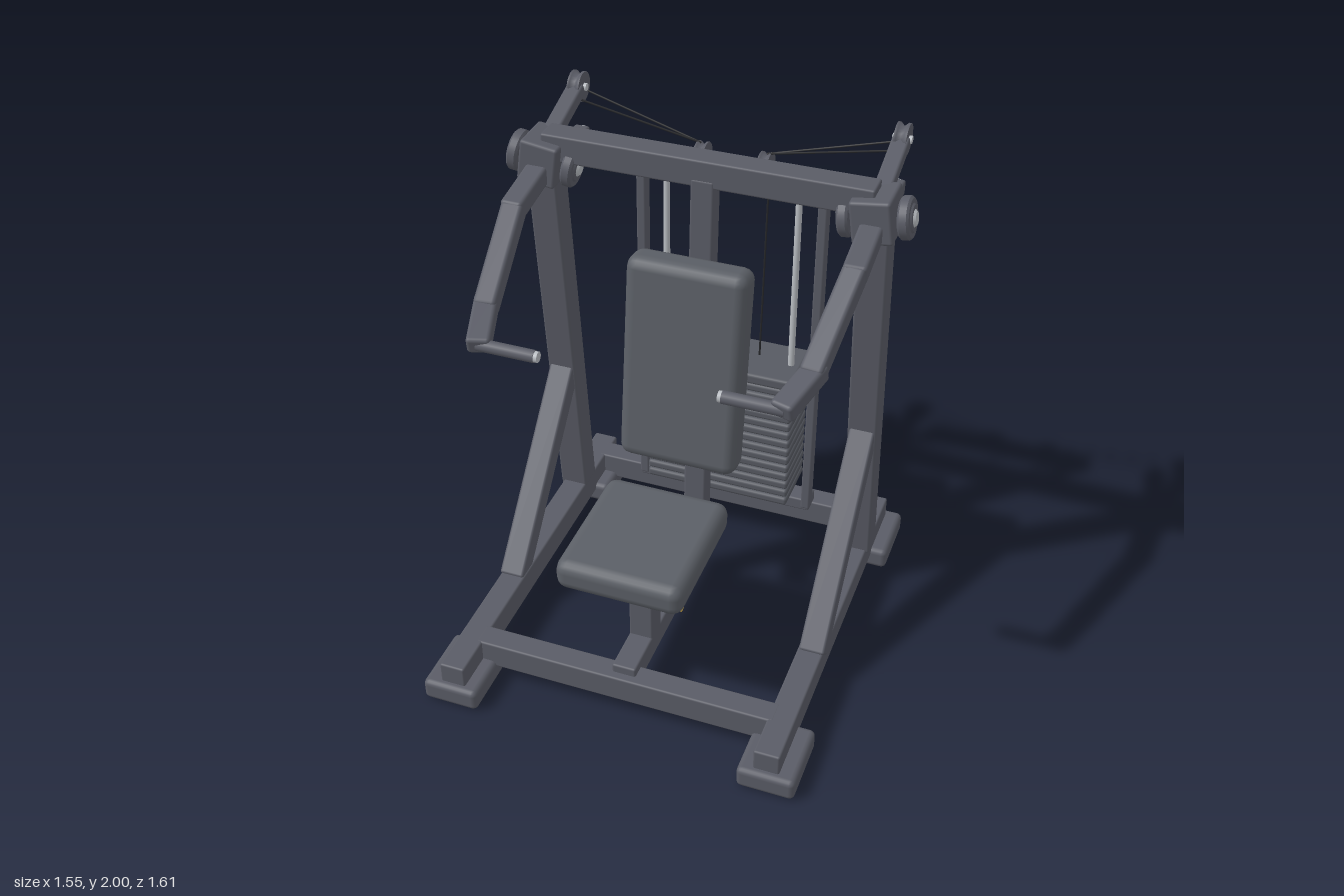
import * as THREE from 'three';
import { RoundedBoxGeometry } from 'three/addons/geometries/RoundedBoxGeometry.js';

const mat = (name, color, extra) => Object.assign(new THREE.MeshStandardMaterial({ color }), { name }, extra);
const V = (x, y, z) => new THREE.Vector3(x, y, z);

export function createModel() {
  const M = {
    frame: mat('frame grey', 0x5a5c66),
    pad: mat('pad grey', 0x5b5f66),
    plate: mat('plate grey', 0x575a62),
    steel: mat('steel', 0xb9bdc2),
    brass: mat('brass', 0xc0a050),
    cable: mat('cable black', 0x26272a),
  };
  const root = new THREE.Group();
  root.name = 'chestPressMachine';

  const add = (name, geo, material, x = 0, y = 0, z = 0, parent = root) => {
    const m = new THREE.Mesh(geo, material);
    m.name = name;
    m.position.set(x, y, z);
    parent.add(m);
    return m;
  };
  const box = (name, material, w, h, d, x, y, z, r = 0.008, parent = root) =>
    add(name, new RoundedBoxGeometry(w, h, d, 2, r), material, x, y, z, parent);
  // Rounded bar between two points: w across, h deep
  const bar = (name, material, a, b, w, h, r = 0.01) => {
    const m = add(name, new RoundedBoxGeometry(w, h, a.distanceTo(b), 2, r), material);
    m.position.copy(a).lerp(b, 0.5);
    m.lookAt(b);
    return m;
  };
  // Round rod between two points
  const rod = (name, material, a, b, r, sides = 16) => {
    const m = add(name, new THREE.CylinderGeometry(r, r, a.distanceTo(b), sides), material);
    m.position.copy(a).lerp(b, 0.5);
    m.quaternion.setFromUnitVectors(V(0, 1, 0), b.clone().sub(a).normalize());
    return m;
  };
  // Disc with bevelled rim, axis along x
  const disc = (name, material, r, w, x, y, z, parent = root) => {
    const c = 0.008, h = w / 2;
    const pts = [[0, -h], [r - c, -h], [r - c, -h], [r, c - h], [r, c - h], [r, h - c], [r, h - c], [r - c, h], [r - c, h], [0, h]];
    const g = new THREE.LatheGeometry(pts.map(p => new THREE.Vector2(...p)), 28);
    g.rotateZ(-Math.PI / 2);
    return add(name, g, material, x, y, z, parent);
  };
  // Grooved cable wheel, axis along x
  const pulley = (name, r, w, x, y, z) => {
    const h = w / 2, q = r - 0.014;
    const pts = [[0, -h], [r, -h], [r, -h], [r, -h * 0.6], [q, 0], [r, h * 0.6], [r, h], [r, h], [0, h]];
    const g = new THREE.LatheGeometry(pts.map(p => new THREE.Vector2(...p)), 24);
    g.rotateZ(-Math.PI / 2);
    add(name, g, M.frame, x, y, z);
    rod(name + 'Axle', M.steel, V(x - h - 0.012, y, z), V(x + h + 0.012, y, z), 0.015);
  };

  // Base frame
  box('frontCrossbar', M.frame, 1.2, 0.11, 0.095, 0, 0.12, 0.568);
  box('rearCrossbar', M.frame, 1.2, 0.11, 0.095, 0, 0.12, -0.68);
  box('centreBeam', M.frame, 0.094, 0.1, 0.85, 0, 0.16, 0.157);

  // Top beam and central upright
  box('topBeam', M.frame, 1.25, 0.106, 0.1, 0, 1.863, -0.305);
  bar('centreUpright', M.frame, V(0, 0.16, -0.225), V(0, 1.84, -0.292), 0.09, 0.078);

  for (const s of [1, -1]) {
    const P = (x, y, z) => V(s * x, y, z);
    // Feet, rails, legs and braces
    for (const z of [0.662, -0.662]) box('foot', M.frame, 0.222, 0.09, 0.286, s * 0.63, 0.045, z, 0.022);
    box('sideRail', M.frame, 0.1, 0.115, 1.55, s * 0.625, 0.117, 0);
    bar('leg', M.frame, P(0.63, 0.165, -0.468), P(0.63, 1.83, -0.298), 0.116, 0.108);
    bar('brace', M.frame, P(0.63, 0.15, 0.2), P(0.63, 0.81, -0.385), 0.1, 0.085);

    // Tilted pivot housing with end discs
    const hub = new THREE.Group();
    hub.name = 'pivot';
    hub.position.set(s * 0.628, 1.795, -0.302);
    hub.rotation.z = s * 0.14;
    root.add(hub);
    box('pivotHousing', M.frame, 0.15, 0.165, 0.175, 0, 0.012, 0, 0.012, hub);
    for (const side of [1, -1]) {
      disc('pivotDisc', M.frame, 0.078, 0.042, side * 0.108, 0, 0, hub);
      disc('pivotRing', M.frame, 0.055, 0.02, side * 0.125, 0, 0, hub);
      disc('pivotCap', M.steel, 0.032, 0.02, side * 0.133, 0, 0, hub);
    }

    // Press arm in three bent segments, with its grip
    const arm = [P(0.628, 1.775, -0.26), P(0.632, 1.728, 0), P(0.598, 1.53, 0.305), P(0.54, 1.482, 0.5)];
    bar('upperArm', M.frame, arm[0], arm[1], 0.085, 0.075, 0.014);
    bar('middleArm', M.frame, arm[1].clone().lerp(arm[0], 0.1), arm[2].clone().lerp(arm[3], 0.12), 0.082, 0.078, 0.014);
    bar('lowerArm', M.frame, arm[2].clone().lerp(arm[3], -0.1), arm[3], 0.085, 0.068, 0.014);
    rod('grip', M.frame, P(0.55, 1.482, 0.483), P(0.335, 1.482, 0.483), 0.023);
    rod('gripCap', M.steel, P(0.337, 1.482, 0.483), P(0.322, 1.482, 0.483), 0.02);

    // Rear lever with cable wheel, and short rear peg
    bar('rearLever', M.frame, P(0.628, 1.855, -0.33), P(0.628, 1.94, -0.61), 0.065, 0.052);
    pulley('leverPulley', 0.058, 0.048, s * 0.628, 1.942, -0.622);
    bar('rearPeg', M.frame, P(0.622, 1.775, -0.34), P(0.622, 1.745, -0.635), 0.062, 0.058);
    rod('rearPegCap', M.steel, P(0.622, 1.745, -0.633), P(0.622, 1.743, -0.645), 0.024);

    // Guide frame, rods and cushions around the weights
    box('guideUpright', M.frame, 0.038, 1.5, 0.055, s * 0.363, 0.93, -0.603);
    rod('guideRod', M.steel, P(0.265, 0.2, -0.603), P(0.265, 1.66, -0.603), 0.013);
    rod('cushion', M.frame, P(0.265, 0.2, -0.603), P(0.265, 0.256, -0.603), 0.027);

    // Upper wheels with brackets, and cables
    pulley('guidePulley', 0.065, 0.042, s * 0.125, 1.735, -0.607);
    for (const o of [-0.027, 0.027])
      box('pulleyBracket', M.frame, 0.008, 0.08, 0.035, s * 0.125 + o, 1.715, -0.607, 0.003);
    for (const z of [-0.58, -0.66])
      rod('leverCable', M.cable, P(0.61, 1.91, z), P(0.13, 1.795, -0.615), 0.004, 6);
    rod('liftCable', M.cable, P(0.125, 1.735, -0.67), P(0.125, 0.88, -0.625), 0.004, 6);
  }

  // Guide frame cross members
  box('guideTopBar', M.frame, 0.725, 0.066, 0.1, 0, 1.668, -0.615);
  box('guideBottomBar', M.frame, 0.76, 0.055, 0.09, 0, 0.195, -0.625);

  // Weight stack
  for (let i = 0; i < 14; i++)
    box('weightPlate', M.plate, 0.615, 0.036, 0.252, 0, 0.273 + i * 0.0422, -0.604, 0.012);
  box('topWeightPlate', M.plate, 0.615, 0.046, 0.255, 0, 0.862, -0.604, 0.012);

  // Seat
  box('seatPost', M.frame, 0.094, 0.27, 0.096, 0, 0.323, 0.354);
  box('seatSlider', M.steel, 0.066, 0.18, 0.062, 0, 0.5, 0.354, 0.004);
  box('seatPad', M.pad, 0.49, 0.125, 0.555, 0, 0.638, 0.357, 0.045);

  // Back pad and its mount
  const back = box('backPad', M.pad, 0.468, 0.83, 0.138, 0, 1.16, -0.092, 0.045);
  back.rotation.x = -0.13;
  box('backMount', M.frame, 0.08, 0.085, 0.12, 0, 0.85, -0.14);
  box('upperBackMount', M.frame, 0.07, 0.07, 0.13, 0, 1.42, -0.2);

  // Brass adjuster knobs and selector pin
  const knob = (name, a, b) => {
    rod(name + 'Stem', M.steel, a, b, 0.008, 10);
    const d = b.clone().sub(a).normalize();
    rod(name, M.brass, b.clone().addScaledVector(d, -0.02), b.clone().addScaledVector(d, 0.02), 0.022, 12);
  };
  knob('backKnob', V(0.03, 0.88, -0.243), V(0.143, 0.88, -0.243));
  knob('seatKnob', V(0.03, 0.377, 0.36), V(0.135, 0.377, 0.36));
  knob('selectorPin', V(0, 0.48, -0.49), V(0, 0.48, -0.417));

  return root;
}
